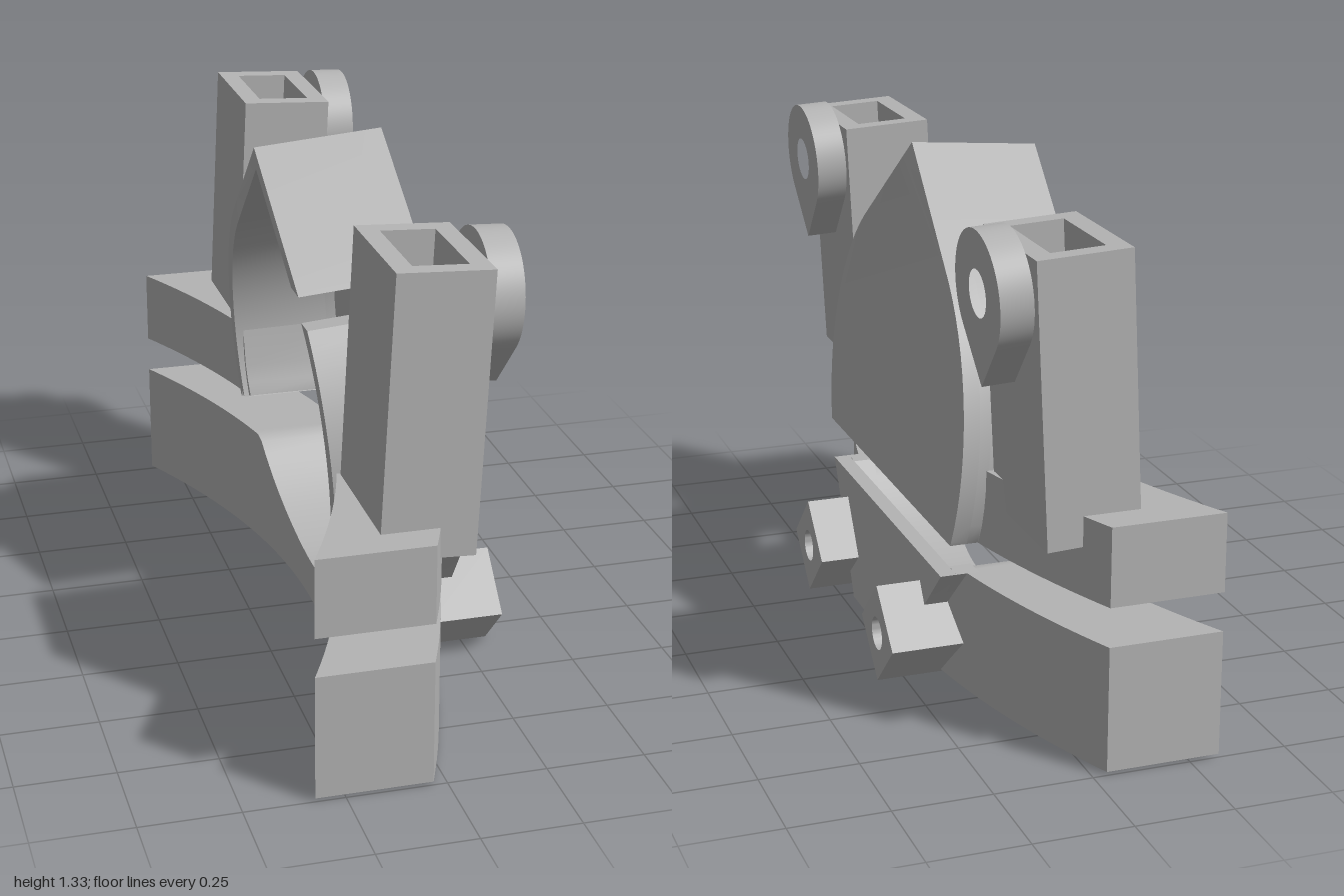
import * as THREE from 'three';
import { toCreasedNormals } from 'three/addons/utils/BufferGeometryUtils.js';

const CY = 0.62, R_OUT = 0.553, R_IN = 0.508, LEAN = 0.0838;
const rad = THREE.MathUtils.degToRad;

// Point on a circle of radius r that closes to a peak at the top
function dropPoint(r, deg, peak = 37.9) {
  const t = deg > 90 ? 180 - deg : deg;
  const rho = r / Math.cos(rad(Math.max(0, t - (90 - peak))));
  return new THREE.Vector2(rho * Math.cos(rad(deg)), rho * Math.sin(rad(deg)));
}

function dropArc(r, from, to) {
  const angles = [from];
  for (let a = Math.floor(from / 5) * 5 + 5; a < to; a += 5) angles.push(a);
  angles.push(to);
  return angles.map((a) => dropPoint(r, a).add(new THREE.Vector2(0, CY)));
}

// Extrude a (-z, y) shape along x, from x0 to x1
function extrudeX(shape, x0, x1) {
  const g = new THREE.ExtrudeGeometry(shape, { depth: x1 - x0, bevelEnabled: false, curveSegments: 24 });
  return g.rotateY(Math.PI / 2).translate(x0, 0, 0);
}

// Lean the housing backwards while keeping its cut faces level
function lean(g) {
  const p = g.attributes.position;
  for (let i = 0; i < p.count; i++) {
    const x = p.getX(i), y = p.getY(i);
    p.setXYZ(i, x + 0.225 - LEAN * y, y > 0.43 ? y + LEAN * x : y, p.getZ(i));
  }
  return g;
}

// Curved bar between two z values, its top cut by the round bore
function barGeometry(z0, z1, bottom, top, steps) {
  const pos = [], idx = [];
  for (let i = 0; i <= steps; i++) {
    const z = z0 + ((z1 - z0) * i) / steps;
    const inner = -0.077 - 0.248 * z * z, outer = 0.173 - 0.208 * z * z;
    const q = R_IN * R_IN - z * z;
    const h = q > 0 ? Math.max(bottom, Math.min(top, CY - Math.sqrt(q))) : top;
    pos.push(inner, bottom, z, outer, bottom, z, outer, h, z, inner, h, z);
    if (i === 0) continue;
    const a = (i - 1) * 4, b = i * 4;
    for (let k = 0; k < 4; k++) {
      const n = (k + 1) % 4;
      idx.push(a + k, a + n, b + n, a + k, b + n, b + k);
    }
  }
  const e = steps * 4;
  idx.push(0, 2, 1, 0, 3, 2, e, e + 1, e + 2, e, e + 2, e + 3);
  const g = new THREE.BufferGeometry();
  g.setAttribute('position', new THREE.Float32BufferAttribute(pos, 3));
  g.setIndex(idx);
  return g;
}

export function createModel() {
  const model = new THREE.Group();
  const grey = new THREE.MeshStandardMaterial({ color: 0xb4b4b4 });
  grey.name = 'plain grey';

  function add(name, geometry, parent = model) {
    const mesh = new THREE.Mesh(toCreasedNormals(geometry, 0.5), grey);
    mesh.name = name;
    parent.add(mesh);
    return mesh;
  }
  function box(name, parent, x0, x1, y0, y1, z0, z1) {
    const g = new THREE.BoxGeometry(x1 - x0, y1 - y0, z1 - z0);
    g.translate((x0 + x1) / 2, (y0 + y1) / 2, (z0 + z1) / 2);
    return add(name, g, parent);
  }

  // Curved bars
  add('lowerBar', barGeometry(-1, 1, 0, 0.32, 80));
  add('upperBarLeft', barGeometry(0.468, 1, 0.42, 0.62, 40));
  add('upperBarRight', barGeometry(-1, -0.468, 0.42, 0.62, 40));

  // Peaked housing: front plate, full rim, and a rear rim broken by a side slot
  const rim = (o0, o1, i0, i1) =>
    new THREE.Shape([...dropArc(R_OUT, o0, o1), ...dropArc(R_IN, i0, i1).reverse()]);
  add('housingFrontPlate', lean(extrudeX(new THREE.Shape(dropArc(R_OUT, -21.2, 201.2)), -0.042, 0)));
  add('housingRim', lean(extrudeX(rim(-21.2, 201.2, -23.2, 203.2), -0.07, -0.042)));
  add('housingRearRim', lean(extrudeX(rim(-21.2, 130.5, -23.2, 124.2), -0.335, -0.07)));
  add('housingRearRimBelowSlot', lean(extrudeX(rim(140, 201.2, 135.7, 203.2), -0.335, -0.07)));

  // Lower end of the housing, set into the lower bar
  const corners = [[-0.467, 0.32], [-0.362, 0.2], [-0.205, 0], [0.205, 0], [0.362, 0.2], [0.467, 0.32]]
    .map(([a, b]) => new THREE.Vector2(a, b));
  const bore = [];
  for (let i = 0; i <= 24; i++) {
    const a = 0.4105 - (0.821 * i) / 24;
    bore.push(new THREE.Vector2(a, CY - Math.sqrt(R_IN * R_IN - a * a)));
  }
  add('lowerFrontPlate', lean(extrudeX(new THREE.Shape(corners), -0.042, 0)));
  add('lowerCradle', lean(extrudeX(new THREE.Shape([...corners, ...bore]), -0.1, -0.042)));

  // Diamond bolt lugs on the front of the lower bar
  const d = 0.131;
  const diamond = new THREE.Shape([[d, 0], [0, d], [-d, 0], [0, -d]].map(([a, b]) => new THREE.Vector2(a, b)));
  diamond.holes.push(new THREE.Path().absarc(0, 0, 0.043, 0, Math.PI * 2, true));
  for (const side of [1, -1]) {
    const lug = add(side > 0 ? 'boltLugLeft' : 'boltLugRight', extrudeX(diamond, 0.125, 0.32));
    lug.position.set(0, 0.122, side * 0.318);
  }

  // Hollow-topped posts, each with a drop-shaped eyelet
  const H = 0.703, W = 0.118, D = 0.177, FLOOR = 0.45, EYE = 0.592;
  const hole = (y) => new THREE.Path().absarc(0, y, 0.058, 0, Math.PI * 2, true);
  const wall = new THREE.Shape([[-D, FLOOR], [D, FLOOR], [D, H], [-D, H]].map(([a, b]) => new THREE.Vector2(a, b)));
  wall.holes.push(hole(EYE));
  const dropPts = [];
  for (let a = -90; a < 270; a += 6) {
    const p = dropPoint(0.153, a, 47.5);
    dropPts.push(new THREE.Vector2(p.x, EYE - p.y));
  }
  const drop = new THREE.Shape(dropPts);
  drop.holes.push(hole(EYE));

  for (const side of [1, -1]) {
    const post = new THREE.Group();
    post.name = side > 0 ? 'postLeft' : 'postRight';
    post.position.set(-0.03, 0.545, side * 0.735);
    post.rotation.z = -0.05;
    model.add(post);
    box('postBase', post, -W, W, 0, FLOOR, -D, D);
    box('postBackWall', post, -W, -0.068, FLOOR, H, -D, D);
    box('postSideWall', post, -0.068, 0.068, FLOOR, H, 0.13, D);
    box('postSideWall', post, -0.068, 0.068, FLOOR, H, -D, -0.13);
    add('postFrontWall', extrudeX(wall, 0.068, W), post);
    box('postCrossbar', post, -0.036, 0.03, EYE - 0.015, EYE + 0.015, -0.13, 0.13);
    add('eyelet', extrudeX(drop, W, 0.2), post);
  }
  return model;
}
